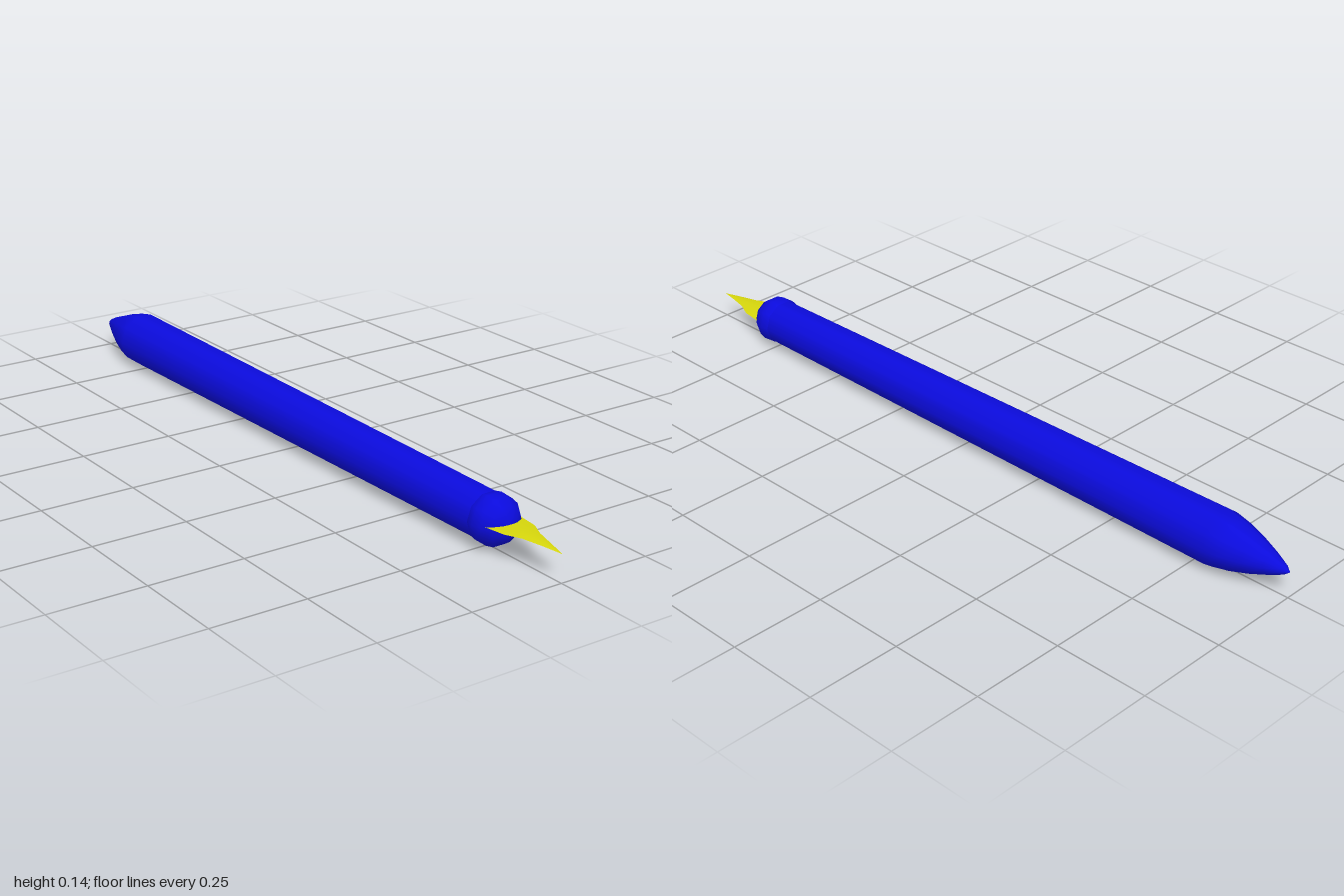
import * as THREE from 'three';

const AXIS_Y = 0.07;
const SIDES = 10;

// Ten-sided turned part along z, from [radius, z] pairs running back to front
function turned(name, profile, material) {
  const points = profile.map(([r, z]) => new THREE.Vector2(r, z));
  const geometry = new THREE.LatheGeometry(points, SIDES, Math.PI / 2);
  geometry.rotateX(Math.PI / 2);
  const mesh = new THREE.Mesh(geometry, material);
  mesh.name = name;
  mesh.position.y = AXIS_Y;
  return mesh;
}

// Thin arched sheet from rows of [z, halfWidth, edgeY, centreY]
function nibGeometry(rows) {
  const across = 4;
  const geometry = new THREE.PlaneGeometry(1, 1, across, rows.length - 1);
  const pos = geometry.attributes.position;
  rows.forEach(([z, w, edgeY, centreY], j) => {
    for (let i = 0; i <= across; i++) {
      const t = (i / across) * 2 - 1;
      pos.setXYZ(j * (across + 1) + i, t * w, centreY + (edgeY - centreY) * t * t, z);
    }
  });
  geometry.computeVertexNormals();
  return geometry;
}

export function createModel() {
  const group = new THREE.Group();
  group.name = 'pen';
  const blue = new THREE.MeshStandardMaterial({ color: 0x0b0bdd });
  const yellow = new THREE.MeshStandardMaterial({ color: 0xd6d60c, side: THREE.DoubleSide });

  // Slightly tapering barrel with a pointed rear end
  group.add(turned('barrel', [
    [0, -1], [0.012, -0.985], [0.03, -0.945], [0.049, -0.895],
    [0.064, -0.845], [0.073, -0.8], [0.0605, 0.75], [0, 0.75],
  ], blue));

  // Rounded collar holding the nib
  const collar = [];
  for (let i = 0; i <= 8; i++) {
    const a = (i / 8) * Math.PI;
    collar.push([0.065 * Math.sin(a), 0.766 - 0.062 * Math.cos(a)]);
  }
  group.add(turned('collar', collar, blue));

  // Nib, narrowing to a drooping point
  const nib = new THREE.Mesh(nibGeometry([
    [0.78, 0.055, 0.074, 0.078],
    [0.855, 0.045, 0.075, 0.078],
    [0.895, 0.026, 0.075, 0.078],
    [0.95, 0.012, 0.073, 0.075],
    [1, 0, 0.07, 0.07],
  ]), yellow);
  nib.name = 'nib';
  group.add(nib);

  return group;
}
